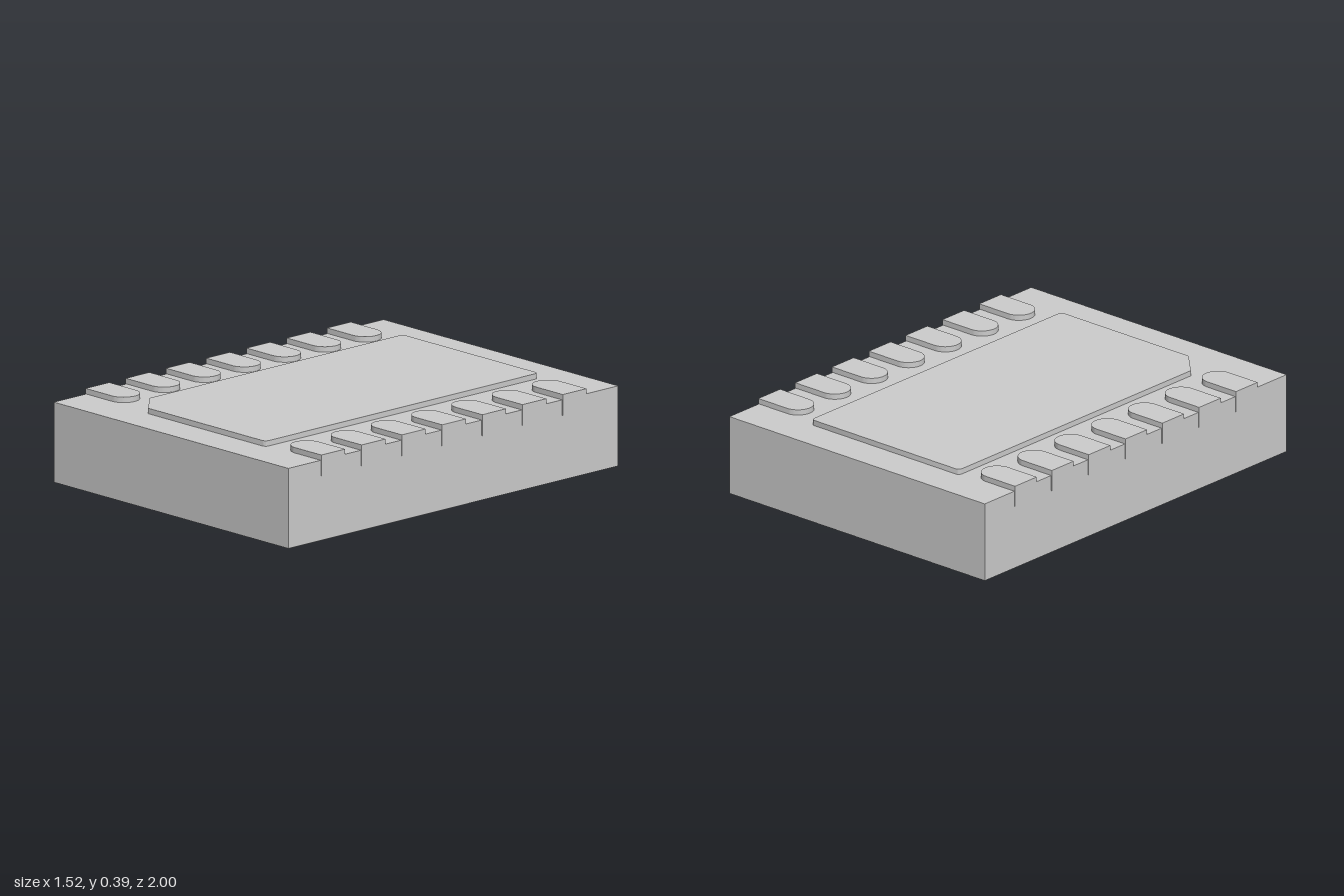
import * as THREE from 'three';
import { toCreasedNormals } from 'three/addons/utils/BufferGeometryUtils.js';

const HALF_X = 0.756, TOP = 0.367, PAD_TOP = 0.392, RECESS = 0.005;
const material = new THREE.MeshStandardMaterial({ color: 0xcccccc });

// Extrudes a plan outline (shape y = -z) upward from y0 to y1
function slab(name, shape, y0, y1) {
  const flat = new THREE.ExtrudeGeometry(shape, { depth: y1 - y0, bevelEnabled: false, curveSegments: 16 });
  flat.rotateX(-Math.PI / 2).translate(0, y0, 0);
  const mesh = new THREE.Mesh(toCreasedNormals(flat, 0.6), material);
  mesh.name = name;
  return mesh;
}

function rectangle(hx, hz) {
  return new THREE.Shape([[-hx, -hz], [hx, -hz], [hx, hz], [-hx, hz]].map(([x, y]) => new THREE.Vector2(x, y)));
}

// Terminal outline: rounded inner end, square outer end
function terminalShape(side) {
  const r = 0.072, inner = 0.518, outer = 0.76;
  const s = new THREE.Shape();
  s.moveTo(side * outer, -r);
  s.lineTo(side * outer, r);
  s.lineTo(side * (inner + r), r);
  s.absarc(side * (inner + r), 0, r, Math.PI / 2, -Math.PI / 2, side < 0);
  s.closePath();
  return s;
}

// Central pad outline: three small round corners and one chamfer
function centrePadShape() {
  const x0 = -0.45, x1 = 0.425, z = 0.828, r = 0.02, c = 0.12;
  const s = new THREE.Shape();
  s.moveTo(x0 + c, -z);
  s.lineTo(x1 - r, -z);
  s.absarc(x1 - r, -z + r, r, -Math.PI / 2, 0, false);
  s.lineTo(x1, z - r);
  s.absarc(x1 - r, z - r, r, 0, Math.PI / 2, false);
  s.lineTo(x0 + r, z);
  s.absarc(x0 + r, z - r, r, Math.PI / 2, Math.PI, false);
  s.lineTo(x0, -z + c);
  s.closePath();
  return s;
}

export function createModel() {
  const model = new THREE.Group();
  model.name = 'chipPackage';

  // Moulded body, with a shallow round marker recess underneath
  model.add(slab('body', rectangle(HALF_X, 1), RECESS, TOP));
  const base = rectangle(HALF_X, 1);
  base.holes.push(new THREE.Path().absarc(-0.517, -0.753, 0.104, 0, Math.PI * 2, true));
  model.add(slab('markedBase', base, 0, RECESS));

  // Exposed central pad
  model.add(slab('centrePad', centrePadShape(), TOP - 0.01, PAD_TOP));

  // Seven terminals along each long side, wrapping over the edge
  for (const side of [-1, 1]) {
    const row = new THREE.Group();
    row.name = side > 0 ? 'leftTerminals' : 'rightTerminals';
    for (let i = -3; i <= 3; i++) {
      const terminal = slab('terminal', terminalShape(side), 0.295, PAD_TOP);
      terminal.position.z = i * 0.244;
      row.add(terminal);
    }
    model.add(row);
  }
  return model;
}
